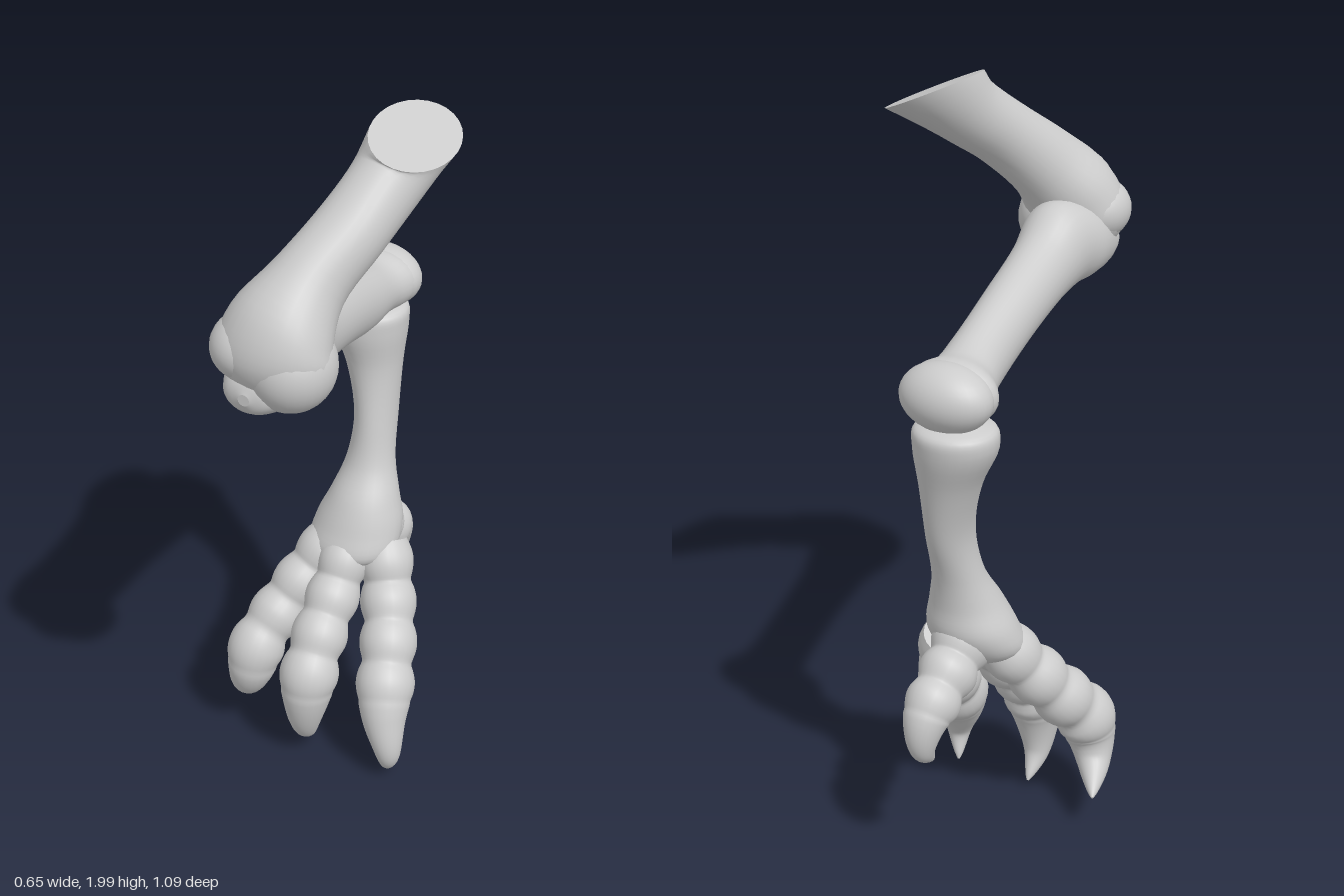
import * as THREE from 'three';

const V = (x, y, z) => new THREE.Vector3(x, y, z);
const AXIS_X = V(1, 0, 0);

// Smooth skin through elliptical sections [x, y, z, radius across x, radius in depth, optional plane normal]
function loft(sections, steps = 5, sides = 28) {
  const centres = sections.map(s => V(s[0], s[1], s[2]));
  const last = sections.length - 1;
  const rings = sections.map((s, i) => {
    const t = s[5] ? s[5].clone().normalize()
      : centres[Math.min(i + 1, last)].clone().sub(centres[Math.max(i - 1, 0)]).normalize();
    const v = t.clone().cross(AXIS_X).normalize();
    const u = v.clone().cross(t);
    return Array.from({ length: sides }, (_, j) => {
      const a = j / sides * Math.PI * 2;
      return centres[i].clone().addScaledVector(u, s[3] * Math.cos(a)).addScaledVector(v, s[4] * Math.sin(a));
    });
  });
  const rows = last * steps;
  const columns = Array.from({ length: sides }, (_, j) =>
    new THREE.CatmullRomCurve3(rings.map(r => r[j])).getPoints(rows));

  const pos = [], index = [];
  for (let i = 0; i <= rows; i++) for (let j = 0; j < sides; j++) pos.push(...columns[j][i].toArray());
  for (let i = 0; i < rows; i++) for (let j = 0; j < sides; j++) {
    const a = i * sides + j, b = i * sides + (j + 1) % sides;
    index.push(a, b, a + sides, b, b + sides, a + sides);
  }
  // flat end caps with their own vertices
  for (const [row, c, end] of [[0, centres[0], false], [rows, centres[last], true]]) {
    const base = pos.length / 3;
    pos.push(...c.toArray());
    for (let j = 0; j < sides; j++) pos.push(...columns[j][row].toArray());
    for (let j = 0; j < sides; j++) {
      const p = base + 1 + j, q = base + 1 + (j + 1) % sides;
      index.push(base, end ? p : q, end ? q : p);
    }
  }
  const g = new THREE.BufferGeometry();
  g.setAttribute('position', new THREE.Float32BufferAttribute(pos, 3));
  g.setIndex(index);
  g.computeVertexNormals();
  return g;
}

// Knuckled toe running into a tapering claw; clawStart is where along the path the claw begins
function toeGeometry(path, r0, r1, knuckles, clawStart) {
  const curve = new THREE.CatmullRomCurve3(path.map(p => V(...p)));
  const count = 48;
  return loft(Array.from({ length: count + 1 }, (_, i) => {
    const t = i / count, p = curve.getPointAt(t);
    const k = t / clawStart, s = (t - clawStart) / (1 - clawStart);
    const r = s < 0
      ? (r0 + (r1 - r0) * k) * (0.87 + 0.18 * Math.abs(Math.sin(k * knuckles * Math.PI)))
      : r1 * 0.87 * Math.pow(1 - s, 0.8) + 0.003;
    return [p.x, p.y, p.z, r, r * 1.06];
  }), 2, 24);
}

export function createModel() {
  const model = new THREE.Group();
  model.name = 'clawedLeg';
  const grey = new THREE.MeshStandardMaterial({ color: 0xcccccc });
  grey.name = 'bone grey';

  const add = (name, geometry) => {
    const m = new THREE.Mesh(geometry, grey);
    m.name = name;
    model.add(m);
    return m;
  };
  const bulb = (name, x, y, z, rx, ry, rz) => {
    const m = add(name, new THREE.SphereGeometry(1, 32, 20));
    m.position.set(x, y, z);
    m.scale.set(rx, ry, rz);
  };

  // Thigh, cut off obliquely at the top
  add('thigh', loft([
    [0.075, 1.45, 0.44, 0.04, 0.03],
    [0.075, 1.475, 0.435, 0.11, 0.08],
    [0.068, 1.54, 0.432, 0.148, 0.113],
    [0.078, 1.61, 0.407, 0.135, 0.118],
    [0.11, 1.70, 0.33, 0.096, 0.102],
    [0.165, 1.80, 0.22, 0.09, 0.09],
    [0.2, 1.88, 0.115, 0.09, 0.094],
    [0.225, 1.96, 0, 0.103, 0.175, V(0.39, 0.92, 0)],
  ]));
  bulb('innerKneeCondyle', 0.005, 1.56, 0.438, 0.092, 0.085, 0.098);
  bulb('outerKneeCondyle', 0.112, 1.525, 0.425, 0.11, 0.115, 0.115);

  // Shin, running back from knee to ankle
  add('shin', loft([
    [0.04, 1.465, 0.532, 0.015, 0.015],
    [0.04, 1.465, 0.515, 0.06, 0.045],
    [0.04, 1.468, 0.45, 0.092, 0.078],
    [0.033, 1.49, 0.36, 0.108, 0.108],
    [0.03, 1.5, 0.275, 0.1, 0.12],
    [0.022, 1.465, 0.18, 0.085, 0.1],
    [0.001, 1.415, 0, 0.078, 0.09],
    [-0.025, 1.355, -0.2, 0.077, 0.088],
    [-0.045, 1.337, -0.3, 0.09, 0.081],
    [-0.06, 1.335, -0.37, 0.122, 0.085],
    [-0.06, 1.335, -0.42, 0.08, 0.06],
  ]));
  bulb('ankleJoint', -0.06, 1.333, -0.395, 0.126, 0.088, 0.09);

  // Shank, from ankle down to the foot, in level sections
  const down = V(0, -1, 0);
  add('shank', loft([
    [-0.072, 1.268, -0.38, 0.06, 0.055, down],
    [-0.074, 1.248, -0.378, 0.106, 0.1, down],
    [-0.073, 1.2, -0.375, 0.109, 0.105, down],
    [-0.052, 1.09, -0.368, 0.078, 0.085, down],
    [-0.032, 0.94, -0.342, 0.058, 0.076, down],
    [-0.03, 0.81, -0.305, 0.068, 0.071, down],
    [-0.03, 0.72, -0.27, 0.096, 0.094, down],
    [-0.037, 0.64, -0.252, 0.123, 0.112, down],
    [-0.043, 0.57, -0.22, 0.122, 0.102, down],
    [-0.043, 0.525, -0.215, 0.06, 0.05, down],
  ]));

  // Three front toes and a hind toe
  add('rightToe', toeGeometry([
    [-0.095, 0.585, -0.22], [-0.145, 0.49, -0.155], [-0.195, 0.39, -0.08], [-0.232, 0.3, -0.005],
    [-0.245, 0.22, 0.015], [-0.268, 0.16, -0.01], [-0.323, 0.115, -0.11],
  ], 0.07, 0.077, 4, 0.68));
  add('middleToe', toeGeometry([
    [-0.04, 0.59, -0.2], [-0.045, 0.48, -0.12], [-0.048, 0.38, -0.03], [-0.048, 0.29, 0.035],
    [-0.05, 0.2, 0.055], [-0.058, 0.1, 0.04], [-0.065, 0.033, -0.02],
  ], 0.068, 0.08, 4, 0.66));
  add('leftToe', toeGeometry([
    [0.04, 0.585, -0.25], [0.08, 0.47, -0.195], [0.122, 0.37, -0.115], [0.148, 0.28, -0.045],
    [0.172, 0.19, 0.012], [0.198, 0.085, 0.038], [0.18, 0.008, 0.005],
  ], 0.073, 0.079, 4, 0.66));
  add('hindToe', toeGeometry([
    [-0.035, 0.62, -0.27], [-0.038, 0.565, -0.345], [-0.04, 0.515, -0.42],
    [-0.04, 0.455, -0.483], [-0.04, 0.385, -0.495], [-0.04, 0.325, -0.45],
  ], 0.08, 0.066, 3, 0.62));
  return model;
}
